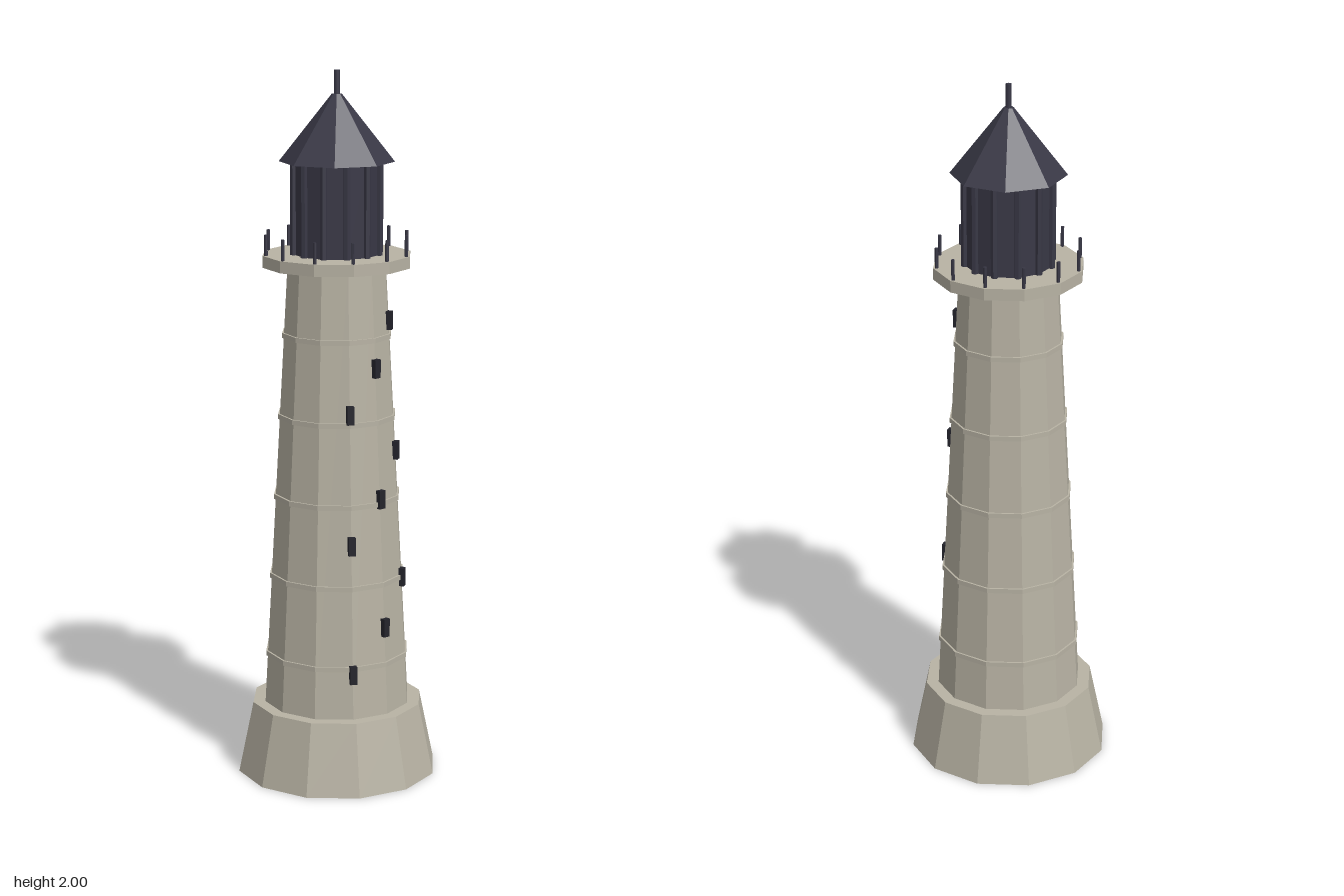
import * as THREE from 'three';

const flat = (name, color) => {
  const m = new THREE.MeshStandardMaterial({ color, flatShading: true });
  m.name = name;
  return m;
};

export function createModel() {
  const stone = flat('stone', 0xb8b3a4);
  const iron = flat('iron', 0x393846);
  const dark = flat('dark window', 0x24242c);
  const model = new THREE.Group();
  model.name = 'lighthouse';

  // Faceted tapered drum between two heights
  const drum = (name, mat, rTop, rBottom, y0, y1, sides = 12, parent = model) => {
    const mesh = new THREE.Mesh(new THREE.CylinderGeometry(rTop, rBottom, y1 - y0, sides), mat);
    mesh.name = name;
    mesh.position.y = (y0 + y1) / 2;
    parent.add(mesh);
    return mesh;
  };
  const group = (name) => {
    const g = new THREE.Group();
    g.name = name;
    model.add(g);
    return g;
  };
  // Place a part at a radius and an angle measured from the front
  const around = (mesh, r, a) => {
    mesh.position.x = Math.sin(a) * r;
    mesh.position.z = Math.cos(a) * r;
    mesh.rotation.y = a;
  };

  const towerRadius = (y) => 0.21 - (0.07 * (y - 0.2)) / 1.265;

  // Masonry
  drum('base', stone, 0.245, 0.288, 0, 0.205);
  drum('tower', stone, towerRadius(1.465), towerRadius(0.2), 0.2, 1.465);
  drum('gallery', stone, 0.21, 0.21, 1.462, 1.495);

  // Thin stone courses around the tower
  const courses = group('courses');
  for (let i = 0; i < 5; i++) {
    const y = 0.35 + i * 0.23;
    const r = towerRadius(y) + 0.005;
    drum('course', stone, r, r, y - 0.007, y + 0.007, 12, courses);
  }

  // Windows spiralling up the front in a repeating three-step pattern
  const windows = group('windows');
  for (let i = 0; i < 9; i++) {
    const y = 0.335 + i * 0.1225;
    const pane = new THREE.Mesh(new THREE.BoxGeometry(0.02, 0.052, 0.022), dark);
    pane.name = 'window';
    pane.position.y = y;
    around(pane, towerRadius(y) + 0.001, ((i % 3) - 1) * Math.PI / 6);
    windows.add(pane);
  }

  // Lantern room with its uprights, and gallery railing posts
  drum('lanternRoom', iron, 0.12, 0.12, 1.495, 1.755);
  const uprights = group('lanternUprights');
  const railing = group('railing');
  for (let i = 0; i < 12; i++) {
    const a = (i * Math.PI) / 6;
    around(drum('upright', iron, 0.01, 0.01, 1.495, 1.755, 6, uprights), 0.122, a);
    around(drum('railingPost', iron, 0.005, 0.005, 1.49, 1.553, 6, railing), 0.2, a);
  }

  // Roof and spike
  drum('roof', iron, 0.014, 0.16, 1.75, 1.935, 8);
  drum('spike', iron, 0.008, 0.008, 1.93, 2, 8);

  return model;
}
